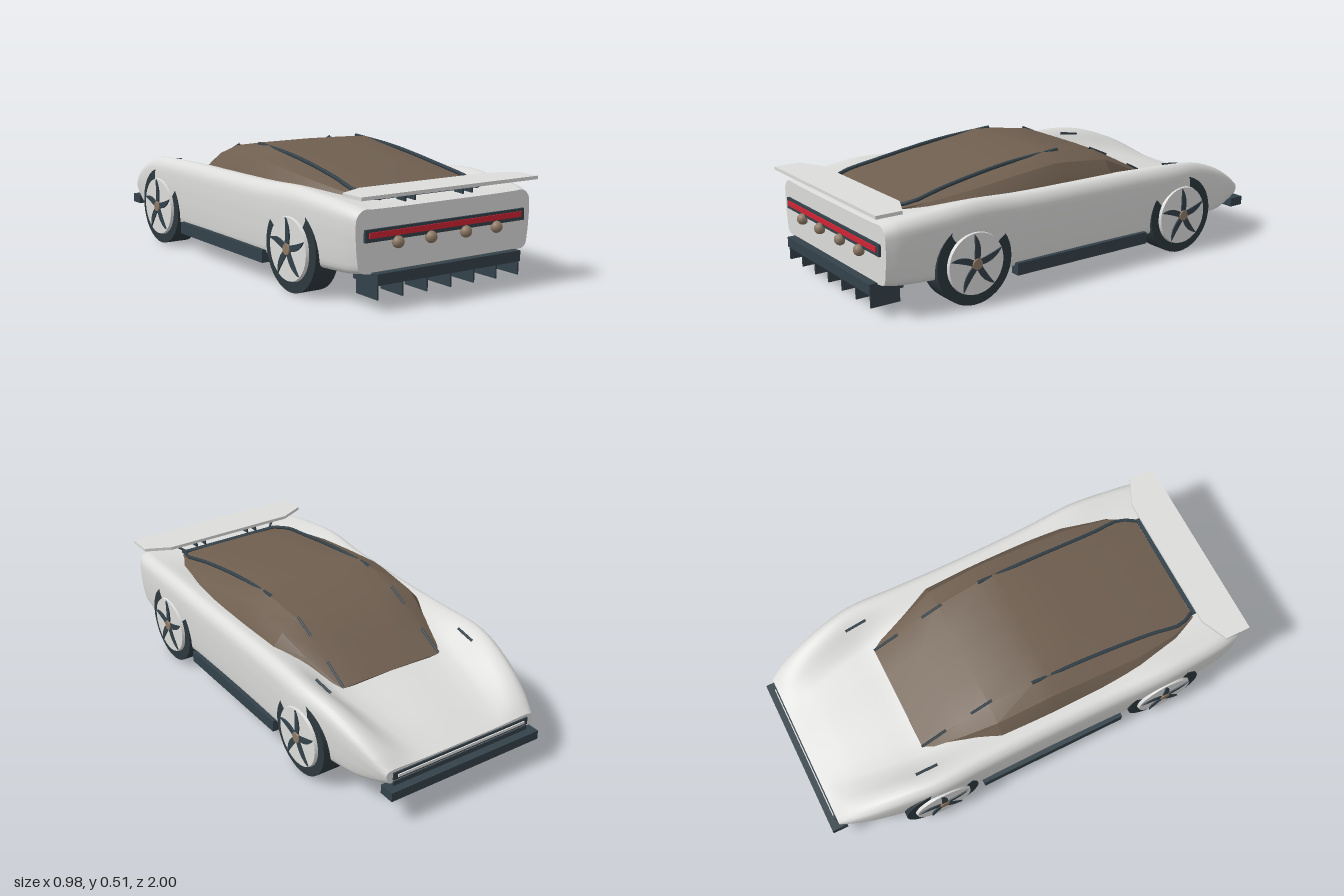
import * as THREE from 'three';
import { toCreasedNormals } from 'three/addons/utils/BufferGeometryUtils.js';

const mat = (name, color) => Object.assign(new THREE.MeshStandardMaterial({ color }), { name });

// Skins closed counterclockwise rings of [x, y], ordered from +z to -z, and caps both ends
function loft(rings, zs, crease) {
  const n = rings[0].length, pos = [], idx = [];
  rings.forEach((r, i) => r.forEach(([x, y]) => pos.push(x, y, zs[i])));
  for (let i = 0; i < rings.length - 1; i++) {
    for (let j = 0; j < n; j++) {
      const k = (j + 1) % n, a = i * n + j, b = i * n + k, d = a + n, c = b + n;
      idx.push(a, d, c, a, c, b);
    }
  }
  [0, rings.length - 1].forEach((i) => {
    const mid = pos.length / 3;
    const cy = rings[i].reduce((s, p) => s + p[1], 0) / n;
    pos.push(0, cy, zs[i]);
    for (let j = 0; j < n; j++) {
      const a = i * n + j, b = i * n + (j + 1) % n;
      if (i === 0) idx.push(mid, a, b); else idx.push(mid, b, a);
    }
  });
  const g = new THREE.BufferGeometry();
  g.setAttribute('position', new THREE.Float32BufferAttribute(pos, 3));
  g.setIndex(idx);
  return toCreasedNormals(g, crease);
}

// Completes a right half (bottom centre to top centre) into a full ring
const mirrorRing = (half) => [...half, ...half.slice(1, -1).reverse().map(([x, y]) => [-x, y])];

// Smoothly resamples rows of numbers whose first entry is z
function resample(rows, steps) {
  const out = [];
  for (let i = 0; i < rows.length - 1; i++) {
    const p = [rows[Math.max(i - 1, 0)], rows[i], rows[i + 1], rows[Math.min(i + 2, rows.length - 1)]];
    for (let s = 0; s < steps; s++) {
      const t = s / steps, h = t * t * (3 - 2 * t);
      out.push(rows[i].map((_, k) => {
        if (k === 0) return p[1][0] + (p[2][0] - p[1][0]) * t;
        const dz = p[2][0] - p[1][0];
        const m1 = (p[2][k] - p[0][k]) / (p[2][0] - p[0][0]) * dz;
        const m2 = (p[3][k] - p[1][k]) / (p[3][0] - p[1][0]) * dz;
        return p[1][k] * (1 - h) + p[2][k] * h + (t ** 3 - 2 * t * t + t) * m1 + (t ** 3 - t * t) * m2;
      }));
    }
  }
  out.push(rows[rows.length - 1]);
  return out;
}

export function createModel() {
  const paint = mat('silver paint', 0xdcdddb);
  const glass = mat('bronze glass', 0x6f5f50);
  const dark = mat('dark trim', 0x34424a);
  const rubber = mat('tyre rubber', 0x2d383e);
  const bronze = mat('bronze metal', 0x8f7a66);
  const red = mat('red lamp', 0xcf2433);
  const car = new THREE.Group();

  const add = (name, geo, material, x = 0, y = 0, z = 0, parent = car) => {
    const m = new THREE.Mesh(geo, material);
    m.name = name;
    m.position.set(x, y, z);
    parent.add(m);
    return m;
  };
  const box = (name, m, w, h, d, x, y, z) => add(name, new THREE.BoxGeometry(w, h, d), m, x, y, z);
  const tube = (name, pts, r, m) => add(name, new THREE.TubeGeometry(
    new THREE.CatmullRomCurve3(pts.map((p) => new THREE.Vector3(...p))), 16, r, 6), m);

  // Body: z, half width, shoulder height, centre height, floor height
  const stations = resample([
    [0.96, 0.432, 0.378, 0.376, 0.128], [0.9, 0.448, 0.39, 0.383, 0.12],
    [0.75, 0.464, 0.405, 0.385, 0.113], [0.58, 0.474, 0.417, 0.385, 0.102],
    [0.35, 0.467, 0.404, 0.385, 0.09], [0, 0.463, 0.4, 0.38, 0.085],
    [-0.3, 0.467, 0.4, 0.36, 0.088], [-0.51, 0.474, 0.397, 0.312, 0.095],
    [-0.65, 0.455, 0.376, 0.29, 0.115], [-0.8, 0.425, 0.322, 0.262, 0.118],
    [-0.9, 0.395, 0.267, 0.235, 0.14], [-0.96, 0.37, 0.222, 0.217, 0.158]], 5);
  const bodyRings = stations.map(([, w, ys, yc, yb]) => {
    const h = ys - yb, dip = ys - yc;
    const curve = new THREE.CatmullRomCurve3([
      [0, yb], [w * 0.5, yb], [w - 0.07, yb + 0.008], [w - 0.02, yb + h * 0.08], [w - 0.008, yb + h * 0.25],
      [w - 0.002, yb + h * 0.5], [w, yb + h * 0.72], [w - 0.006, yb + h * 0.9], [w - 0.035, ys],
      [w - 0.08, ys - dip * 0.12], [w - 0.14, ys - dip * 0.65], [w - 0.2, yc], [0, yc],
    ].map(([x, y]) => new THREE.Vector3(x, y, 0)), false, 'centripetal');
    return mirrorRing(curve.getPoints(36).map((p) => [p.x, p.y]));
  });
  add('body', loft(bodyRings, stations.map((s) => s[0]), 0.7), paint);

  // Canopy: z, base half width, roof half width, base height, roof height
  const cabin = [
    [0.82, 0.28, 0.25, 0.37, 0.393], [0.7, 0.345, 0.262, 0.37, 0.42], [0.5, 0.385, 0.265, 0.38, 0.453],
    [0.3, 0.39, 0.262, 0.385, 0.484], [0.1, 0.39, 0.26, 0.385, 0.513], [0.03, 0.39, 0.26, 0.385, 0.508],
    [-0.18, 0.388, 0.25, 0.375, 0.48], [-0.32, 0.342, 0.25, 0.33, 0.41], [-0.5, 0.27, 0.25, 0.28, 0.315]];
  const cabinRings = cabin.map(([, w, t, yb, yt]) => mirrorRing([
    [0, yb], [w, yb], [w - 0.012, yb + (yt - yb) * 0.25], [t + (w - t) * 0.63, yb + (yt - yb) * 0.7],
    [t, yt - 0.003], [t * 0.5, yt], [0, yt]]));
  add('canopy', loft(cabinRings, cabin.map((c) => c[0]), 0.35), glass);

  for (const s of [1, -1]) {
    // Roof seams and fender slits
    tube('rearSeam', [[s * 0.258, 0.507, 0.02], [s * 0.262, 0.487, 0.3], [s * 0.272, 0.441, 0.6],
      [s * 0.283, 0.411, 0.75], [s * 0.25, 0.397, 0.82]], 0.008, dark);
    tube('upperScreenSeam', [[s * 0.245, 0.486, -0.16], [s * 0.245, 0.441, -0.26]], 0.006, dark);
    tube('lowerScreenSeam', [[s * 0.245, 0.378, -0.38], [s * 0.247, 0.315, -0.5]], 0.006, dark);
    tube('fenderSlit', [[s * 0.367, 0.386, -0.48], [s * 0.363, 0.372, -0.58]], 0.006, dark);
    // Side skirt
    box('sideSkirt', dark, 0.04, 0.052, 0.69, s * 0.452, 0.104, 0.035);
    // Wing supports
    for (const x of [0.12, 0.167]) box('wingStrut', dark, 0.008, 0.045, 0.05, s * x, 0.403, 0.89);
    tube('wingBrace', [[s * 0.24, 0.387, 0.85], [s * 0.275, 0.41, 0.88], [s * 0.31, 0.424, 0.9]], 0.006, dark);
  }
  box('deckVent', dark, 0.52, 0.008, 0.025, 0, 0.389, 0.835);

  // Rear wing with swept tips
  const plan = new THREE.Shape([[-0.437, 1], [-0.437, 0.885], [-0.32, 0.83], [0.32, 0.83], [0.437, 0.885], [0.437, 1]]
    .map(([x, z]) => new THREE.Vector2(x, z)));
  const wing = new THREE.ExtrudeGeometry(plan, { depth: 0.014, bevelEnabled: false });
  wing.rotateX(Math.PI / 2);
  add('rearWing', wing, paint, 0, 0.436, 0);

  // Tail lamp, exhausts and diffuser
  box('tailPanel', dark, 0.79, 0.048, 0.016, 0, 0.281, 0.962);
  box('tailLamp', red, 0.755, 0.022, 0.008, 0, 0.283, 0.971);
  for (const x of [-0.245, -0.087, 0.087, 0.245]) {
    add('exhaust', new THREE.SphereGeometry(0.024, 20, 14), bronze, x, 0.246, 0.973);
  }
  box('diffuser', dark, 0.715, 0.044, 0.15, 0, 0.119, 0.92);
  for (let i = -3; i <= 3; i++) box('diffuserFin', dark, 0.007, 0.06, 0.13, i * 0.117, 0.072, 0.925);

  // Nose splitter and light bar
  box('noseSplitter', dark, 0.745, 0.04, 0.07, 0, 0.13, -0.965);
  box('noseSupport', dark, 0.68, 0.03, 0.05, 0, 0.155, -0.94);
  box('noseLightSurround', dark, 0.68, 0.032, 0.012, 0, 0.193, -0.96);
  box('noseLight', paint, 0.64, 0.012, 0.006, 0, 0.193, -0.968);

  // Wheels, built with the outside facing +x
  const disc = (r1, r2, w, seg = 40) => new THREE.CylinderGeometry(r1, r2, w, seg).rotateZ(-Math.PI / 2);
  const blade = new THREE.Shape();
  blade.moveTo(0.02, -0.012);
  blade.quadraticCurveTo(0.08, -0.026, 0.124, 0.012);
  blade.quadraticCurveTo(0.07, 0.008, 0.02, 0.012);
  const bladeGeo = new THREE.ExtrudeGeometry(blade, { depth: 0.006, bevelEnabled: false, curveSegments: 8 });
  bladeGeo.rotateY(Math.PI / 2);
  for (const s of [1, -1]) {
    for (const [z, r] of [[0.585, 0.175], [-0.513, 0.172]]) {
      const wheel = new THREE.Group();
      wheel.name = z > 0 ? 'rearWheel' : 'frontWheel';
      wheel.position.set(0, r, z);
      if (s < 0) wheel.rotation.y = Math.PI;
      add('tyre', disc(r, r, 0.106), rubber, 0.416, 0, 0, wheel);
      add('wheelDisc', disc(0.127, 0.131, 0.014), paint, 0.475, 0, 0, wheel);
      for (let i = 0; i < 5; i++) {
        add('spoke', bladeGeo, dark, 0.482, 0, 0, wheel).rotation.x = 0.3 + i * Math.PI * 0.4;
      }
      add('hub', disc(0.022, 0.028, 0.012, 20), bronze, 0.486, 0, 0, wheel);
      add('brakeDrum', disc(0.11, 0.11, 0.09), bronze, 0.32, 0, 0, wheel);
      add('drumShoulder', disc(0.11, 0.095, 0.035), bronze, 0.258, 0, 0, wheel);
      add('drumCap', disc(0.086, 0.086, 0.008), dark, 0.239, 0, 0, wheel);
      car.add(wheel);
    }
  }
  return car;
}
